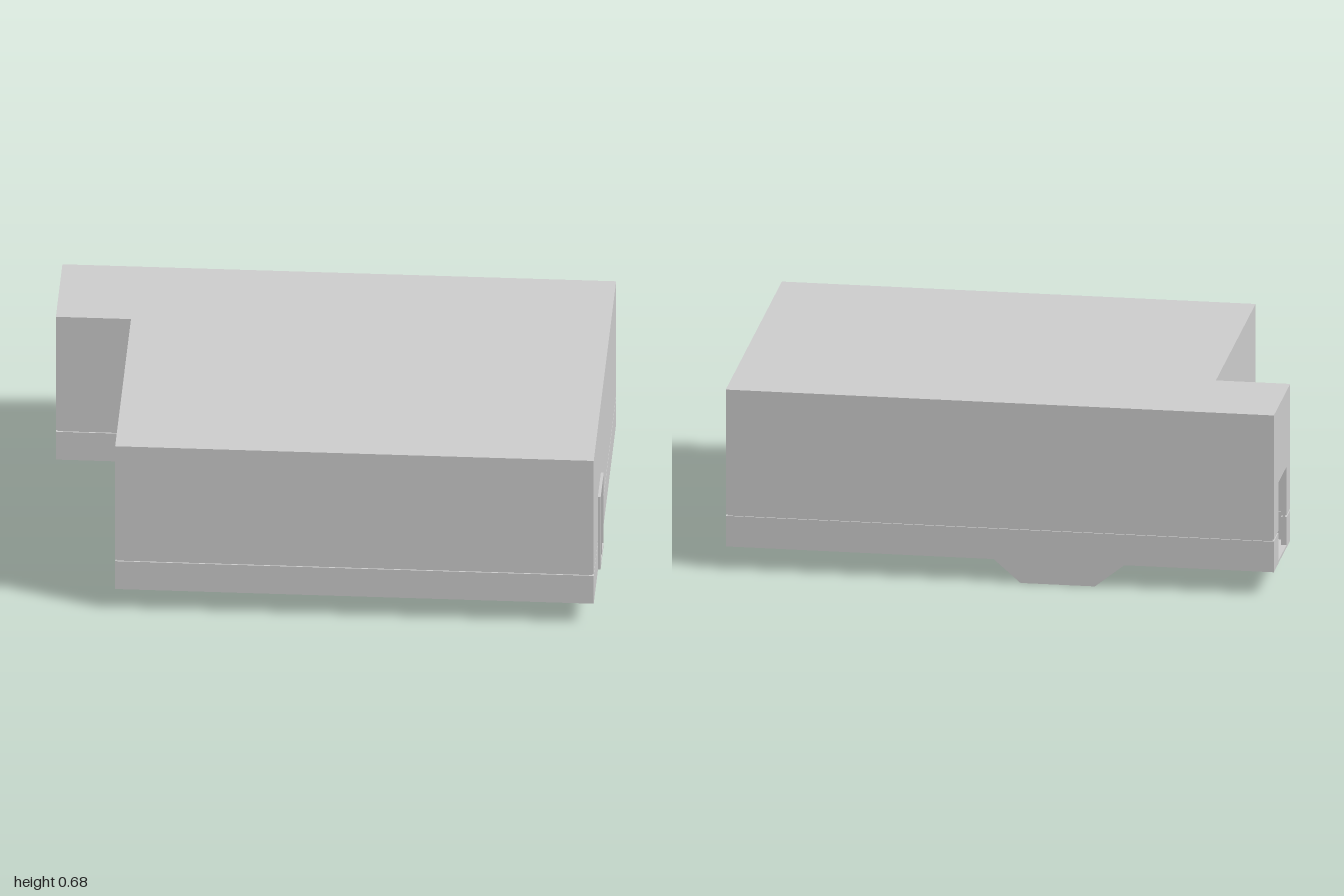
import * as THREE from 'three';

const BASE = 0.085, TOP = 0.675, WALL = 0.02, DOOR_TOP = 0.39;
const GREY = new THREE.MeshStandardMaterial({ color: 0xcccccc });
const INNER = new THREE.MeshStandardMaterial({ color: 0xcccccc, side: THREE.BackSide });

// L-shaped plan as [x, z] corners, inset by d; starts and ends beside the end doorway
const plan = (d) => [
  [-1 + d, -0.65 + d], [0.99 - d, -0.65 + d], [0.99 - d, 0.65 - d],
  [-0.73 + d, 0.65 - d], [-0.73 + d, -0.27 - d], [-1 + d, -0.27 - d],
];
const toPoints = (list) => list.map(([x, z]) => new THREE.Vector2(x, z));
const rect = (x0, x1, z0, z1) => new THREE.Path(toPoints([[x0, z0], [x1, z0], [x1, z1], [x0, z1]]));

export function createModel() {
  const model = new THREE.Group();

  const add = (name, geometry, material = GREY, parent = model) => {
    const mesh = new THREE.Mesh(geometry, material);
    mesh.name = name;
    parent.add(mesh);
    return mesh;
  };
  const box = (name, x0, x1, y0, y1, z0, z1, material, parent) =>
    add(name, new THREE.BoxGeometry(x1 - x0, y1 - y0, z1 - z0)
      .translate((x0 + x1) / 2, (y0 + y1) / 2, (z0 + z1) / 2), material, parent);
  // Extrude a plan shape upright between two heights
  const slab = (name, shape, y0, y1) =>
    add(name, new THREE.ExtrudeGeometry(shape, { depth: y1 - y0, bevelEnabled: false })
      .rotateX(Math.PI / 2).translate(0, y1, 0));

  // Walls in layers: closed ring, or open at the end doorway
  const wallLayer = (name, y0, y1, inset, open) => {
    const outer = plan(inset), inner = plan(WALL - inset);
    let shape;
    if (open) {
      const [zA, zB] = [-0.545, -0.355];
      const xo = -1 + inset, xi = -1 + WALL - inset;
      shape = new THREE.Shape(toPoints([
        [xo, zA], ...outer, [xo, zB], [xi, zB], ...inner.reverse(), [xi, zA],
      ]));
    } else {
      shape = new THREE.Shape(toPoints(outer));
      shape.holes.push(new THREE.Path(toPoints(inner)));
    }
    slab(name, shape, y0, y1);
  };
  wallLayer('lowerWall', BASE, 0.2, 0, true);
  wallLayer('wallGroove', 0.2, 0.208, 0.005, true);
  wallLayer('middleWall', 0.208, DOOR_TOP, 0, true);
  wallLayer('upperWall', DOOR_TOP, TOP - 0.01, 0, false);

  // Roof
  slab('roof', new THREE.Shape(toPoints(plan(0))), TOP - 0.01, TOP);

  // Floor with two narrow channels beside the pit
  const floor = new THREE.Shape(toPoints(plan(0.0005)));
  const channels = [[0.02, 0.06, -0.435, -0.01], [-0.5, -0.46, -0.435, -0.39]];
  channels.forEach((c) => {
    floor.holes.push(rect(...c));
    box('floorChannel', c[0], c[1], BASE, BASE + 0.05, c[2], c[3], INNER);
  });
  slab('floor', floor, BASE, BASE + 0.01);

  // Tapered pit below the floor, flush with the back wall
  const pit = new THREE.BoxGeometry(1, 1, 1).toNonIndexed();
  const p = pit.attributes.position;
  for (let i = 0; i < p.count; i++) {
    const up = p.getY(i) > 0, left = p.getX(i) > 0, front = p.getZ(i) > 0;
    p.setXYZ(i,
      left ? (up ? 0.02 : -0.08) : (up ? -0.46 : -0.35),
      up ? BASE + 0.002 : 0,
      front ? (up ? -0.435 : -0.46) : -0.65);
  }
  pit.computeVertexNormals();
  add('pit', pit);

  // Round plates under the floor
  for (const x of [0.88, 0.13, -0.64]) {
    add('floorPlate', new THREE.CylinderGeometry(0.045, 0.045, 0.004, 16)).position.set(x, BASE - 0.001, -0.055);
  }

  // Double door on the side wall: raised frame around two panels
  const door = new THREE.Group();
  door.name = 'doubleDoor';
  model.add(door);
  const z0 = 0.234, z1 = 0.41, mid = 0.322, bar = 0.007;
  for (const z of [z0, mid - bar / 2, z1 - bar]) {
    box('doorPost', 0.985, 1, BASE + 0.005, DOOR_TOP, z, z + bar, GREY, door);
  }
  box('doorHead', 0.985, 1, DOOR_TOP - bar, DOOR_TOP, z0, z1, GREY, door);
  box('doorSill', 0.985, 1, BASE + 0.005, BASE + 0.018, z0, z1, GREY, door);
  for (const [a, b] of [[z0 + bar, mid - bar / 2], [mid + bar / 2, z1 - bar]]) {
    box('doorPanel', 0.985, 0.994, BASE + 0.018, DOOR_TOP - bar, a, b, GREY, door);
  }

  return model;
}
